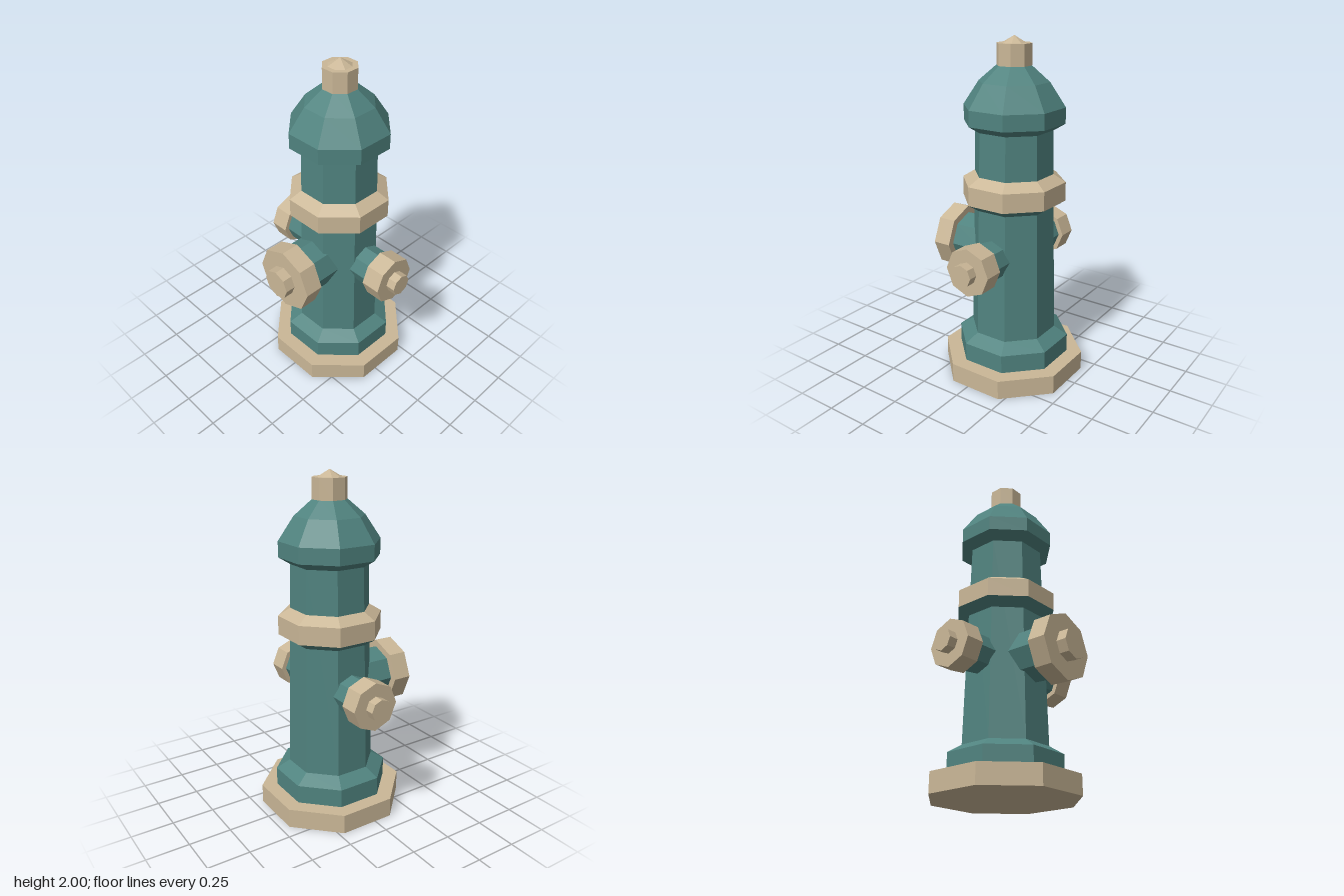
import * as THREE from 'three';

const SIDES = 8;
const AXIS_Z = -0.055;

export function createModel() {
  const model = new THREE.Group();
  model.name = 'fireHydrant';

  const teal = new THREE.MeshStandardMaterial({ color: 0x50837f, flatShading: true });
  teal.name = 'teal paint';
  const tan = new THREE.MeshStandardMaterial({ color: 0xcab797, flatShading: true });
  tan.name = 'tan paint';

  // Octagonal part with flats facing the axes; profile is [flat distance, height], bottom to top
  function octagon(name, material, profile) {
    const k = 1 / Math.cos(Math.PI / SIDES);
    const points = profile.map(([r, y]) => new THREE.Vector2(r * k, y));
    const mesh = new THREE.Mesh(new THREE.LatheGeometry(points, SIDES, Math.PI / SIDES), material);
    mesh.name = name;
    mesh.position.z = AXIS_Z;
    model.add(mesh);
  }

  octagon('basePlate', tan, [[0, 0], [0.395, 0], [0.395, 0.115], [0, 0.115]]);

  // Foot flange and tapering barrel
  octagon('barrel', teal, [[0.31, 0.115], [0.31, 0.225], [0.235, 0.275], [0.207, 1.49]]);

  // Collar with a painted underside
  octagon('collarUnderside', teal, [[0.212, 1.04], [0.278, 1.085]]);
  octagon('collar', tan, [[0.278, 1.085], [0.278, 1.195], [0.211, 1.24]]);

  // Domed bonnet
  octagon('bonnet', teal, [[0.2, 1.49], [0.207, 1.49], [0.268, 1.53], [0.268, 1.62], [0.185, 1.755], [0.088, 1.845], [0, 1.845]]);

  // Top nut with a pointed tip
  octagon('topNut', tan, [[0.092, 1.84], [0.092, 1.96], [0.063, 1.96], [0, 2]]);

  // Outlet built along +y: pipe, cap and cap nut, each [name, material, radius, start, end]
  function outlet(name, parts) {
    const group = new THREE.Group();
    group.name = name;
    for (const [part, material, radius, start, end] of parts) {
      const mesh = new THREE.Mesh(new THREE.CylinderGeometry(radius, radius, end - start, SIDES), material);
      mesh.name = part;
      mesh.position.y = (start + end) / 2;
      group.add(mesh);
    }
    group.position.set(0, 0.77, AXIS_Z);
    model.add(group);
    return group;
  }

  // Large front outlet
  outlet('frontOutlet', [
    ['pipe', teal, 0.156, 0.1, 0.34],
    ['cap', tan, 0.197, 0.335, 0.445],
    ['capNut', tan, 0.09, 0.44, 0.505],
  ]).rotation.x = Math.PI / 2;

  // Small outlets on both sides
  for (const side of [1, -1]) {
    outlet(side > 0 ? 'leftOutlet' : 'rightOutlet', [
      ['pipe', teal, 0.113, 0.1, 0.34],
      ['cap', tan, 0.141, 0.335, 0.45],
      ['capNut', tan, 0.064, 0.445, 0.505],
    ]).rotation.z = -side * Math.PI / 2;
  }

  return model;
}
